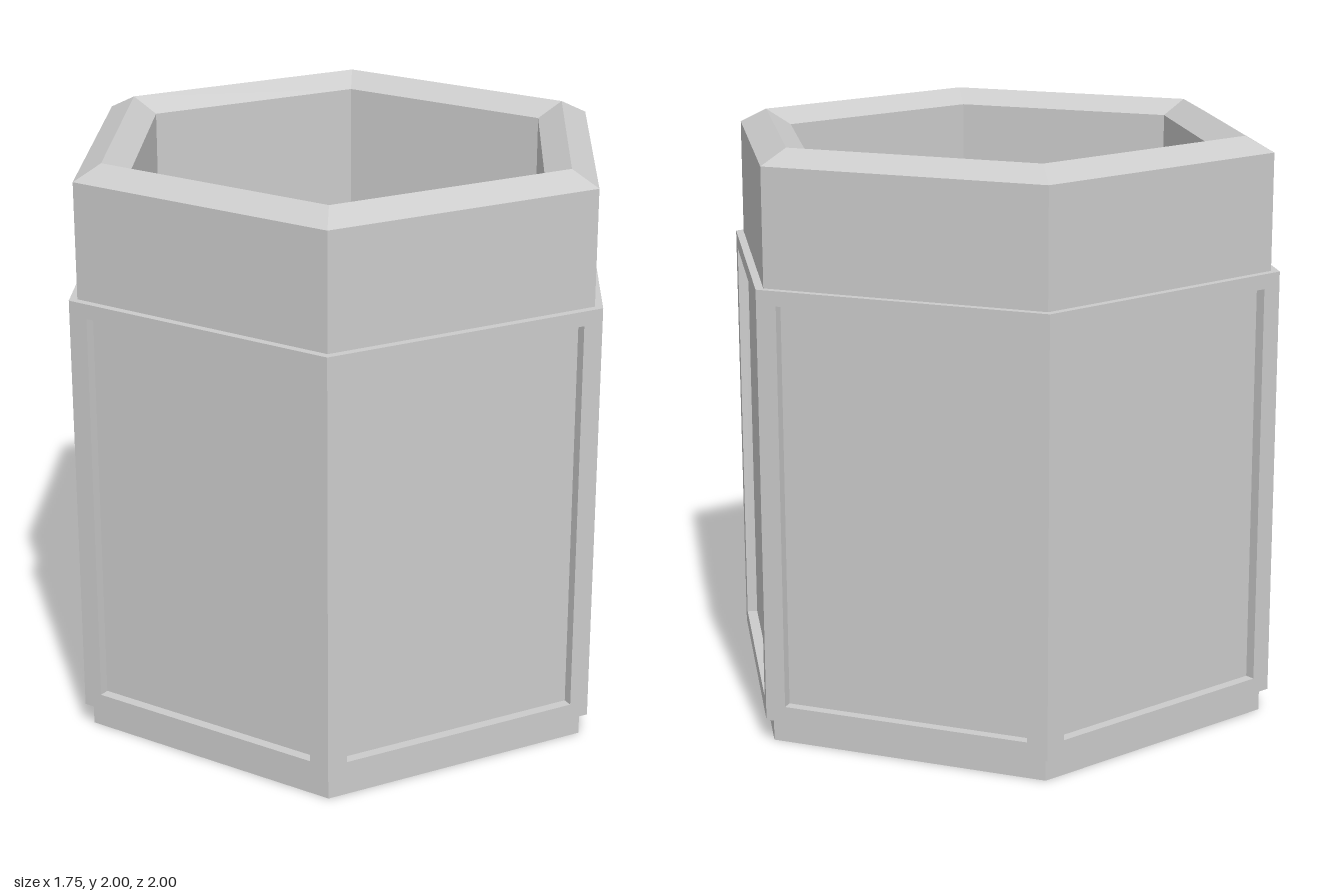
import * as THREE from 'three';

const SIDES = 6;
const TURN = -0.022;              // slight twist of the whole hexagon
const BAND_BOTTOM = 0.08, BAND_TOP = 1.555;
const PANEL_BOTTOM = 0.135, PANEL_TOP = 1.505;
const PANEL_HALF = 0.43;          // half width of a sunken panel
const DEPTH = 0.035;              // how far the panels are sunk
const APOTHEM = Math.cos(Math.PI / SIDES);

const material = new THREE.MeshStandardMaterial({
  color: 0xcccccc, flatShading: true, side: THREE.DoubleSide,
});

function addMesh(parent, name, geometry) {
  const mesh = new THREE.Mesh(geometry, material);
  mesh.name = name;
  parent.add(mesh);
  return mesh;
}

// Six-sided shell from a profile of [corner radius, height] pairs
function hexShell(profile) {
  const points = profile.map(([r, y]) => new THREE.Vector2(r, y));
  const geometry = new THREE.LatheGeometry(points, SIDES, TURN).toNonIndexed();
  geometry.computeVertexNormals();
  return geometry;
}

function rectangle(target, x, y0, y1) {
  target.moveTo(-x, y0);
  target.lineTo(x, y0);
  target.lineTo(x, y1);
  target.lineTo(-x, y1);
  target.closePath();
  return target;
}

// One side of the body: a frame around a sunken panel, facing +z
function sidePanel() {
  const side = new THREE.Group();
  side.name = 'sidePanel';
  const height = PANEL_TOP - PANEL_BOTTOM;
  const middle = (PANEL_TOP + PANEL_BOTTOM) / 2;

  const frame = rectangle(new THREE.Shape(), 0.5, BAND_BOTTOM, BAND_TOP);
  frame.holes.push(rectangle(new THREE.Path(), PANEL_HALF, PANEL_BOTTOM, PANEL_TOP));
  addMesh(side, 'panelFrame', new THREE.ShapeGeometry(frame));

  addMesh(side, 'panel', new THREE.PlaneGeometry(PANEL_HALF * 2, height))
    .position.set(0, middle, -DEPTH);

  // Narrow walls between the frame and the panel
  for (const s of [-1, 1]) {
    const jamb = addMesh(side, 'panelSideEdge', new THREE.PlaneGeometry(DEPTH, height));
    jamb.rotation.y = -s * Math.PI / 2;
    jamb.position.set(s * PANEL_HALF, middle, -DEPTH / 2);

    const sill = addMesh(side, s < 0 ? 'panelBottomEdge' : 'panelTopEdge',
      new THREE.PlaneGeometry(PANEL_HALF * 2, DEPTH));
    sill.rotation.x = s * Math.PI / 2;
    sill.position.set(0, middle + s * height / 2, -DEPTH / 2);
  }
  return side;
}

export function createModel() {
  const model = new THREE.Group();
  model.name = 'hexagonalPot';

  // Open foot below the panels
  addMesh(model, 'foot', hexShell([[0.97, 0], [0.97, BAND_BOTTOM], [1, BAND_BOTTOM]]));

  // Collar, bevelled rim, inner wall and raised floor
  addMesh(model, 'collarAndRim', hexShell([
    [1, BAND_TOP], [0.97, BAND_TOP], [0.97, 1.95], [0.87, 2], [0.775, 1.95],
  ]));
  addMesh(model, 'innerWall', hexShell([[0.775, 1.95], [0.775, 0.51]]));
  addMesh(model, 'floor', hexShell([[0.775, 0.51], [0, 0.51]]));

  // Framed panels around the body
  for (let i = 0; i < SIDES; i++) {
    const angle = TURN + (i + 0.5) * Math.PI * 2 / SIDES;
    const side = sidePanel();
    side.rotation.y = angle;
    side.position.set(Math.sin(angle) * APOTHEM, 0, Math.cos(angle) * APOTHEM);
    model.add(side);
  }
  return model;
}
